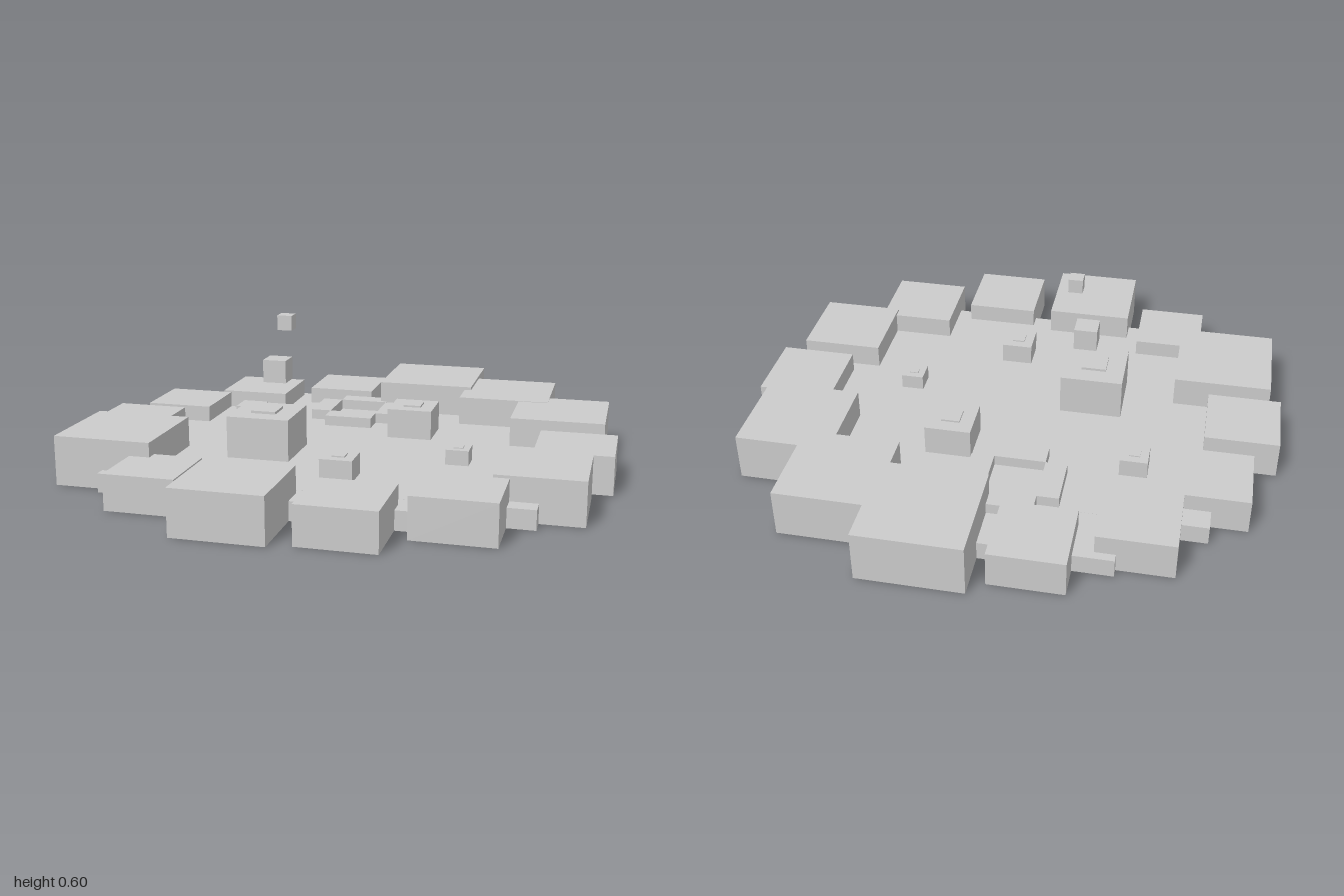
import * as THREE from 'three';

export function createModel() {
  const model = new THREE.Group();
  const stone = new THREE.MeshStandardMaterial({ color: 0xcccccc });
  stone.name = 'light grey stone';

  // Box spanning x0..x1, y0..y1, z0..z1
  function block(name, x0, x1, y0, y1, z0, z1) {
    const mesh = new THREE.Mesh(new THREE.BoxGeometry(x1 - x0, y1 - y0, z1 - z0), stone);
    mesh.position.set((x0 + x1) / 2, (y0 + y1) / 2, (z0 + z1) / 2);
    mesh.name = name;
    model.add(mesh);
  }

  // Floor: two crossed slabs
  const floor = 0.07;
  block('floorWide', -0.775, 0.77, 0, floor, -0.545, 0.567);
  block('floorLong', -0.475, 0.475, 0, floor - 0.0005, -0.765, 0.68);

  // Ring of square rim blocks: centre x, centre z, width, height
  const rim = [
    [0.188, -0.743, 0.385, 0.193],
    [-0.195, -0.745, 0.27, 0.135],
    [-0.539, -0.595, 0.277, 0.139],
    [-0.778, -0.327, 0.263, 0.132],
    [-0.863, 0.008, 0.275, 0.141],
    [-0.775, 0.343, 0.367, 0.184],
    [-0.539, 0.612, 0.258, 0.131],
    [-0.195, 0.76, 0.328, 0.167],
    [0.187, 0.76, 0.277, 0.14],
    [0.528, 0.611, 0.288, 0.148],
    [0.77, 0.347, 0.308, 0.158],
    [0.854, 0.007, 0.285, 0.143],
    [0.77, -0.325, 0.354, 0.179],
    [0.532, -0.595, 0.356, 0.181],
  ];
  rim.forEach(([x, z, w, h], i) =>
    block(`rimBlock${i + 1}`, x - w / 2, x + w / 2, 0, h, z - w / 2, z + w / 2));

  // Pedestals with thin square caps: centre x, centre z, width
  const pedestals = [
    [-0.28, 0.147, 0.236],
    [0.201, -0.235, 0.172],
    [0.065, 0.387, 0.118],
    [0.44, 0.11, 0.085],
    [-0.485, -0.267, 0.102],
  ];
  pedestals.forEach(([x, z, w], i) => {
    const top = floor + w * 0.66, c = w * 0.2;
    block(`pedestal${i + 1}`, x - w / 2, x + w / 2, floor, top, z - w / 2, z + w / 2);
    block(`pedestalCap${i + 1}`, x - c, x + c, top, top + w * 0.04, z - c, z + c);
  });

  // Four low bars around a square pit
  block('pitBarBack', -0.17, 0.02, floor, 0.11, -0.61, -0.535);
  block('pitBarFront', -0.17, 0.02, floor, 0.11, -0.345, -0.26);
  block('pitBarRight', -0.25, -0.17, floor, 0.11, -0.535, -0.345);
  block('pitBarLeft', 0.02, 0.105, floor, 0.11, -0.535, -0.345);

  // Floating cubes above the tallest pedestal
  block('floatingCubeLarge', -0.29, -0.203, 0.337, 0.421, 0.07, 0.155);
  block('floatingCubeSmall', -0.221, -0.167, 0.543, 0.597, 0.137, 0.19);

  return model;
}
